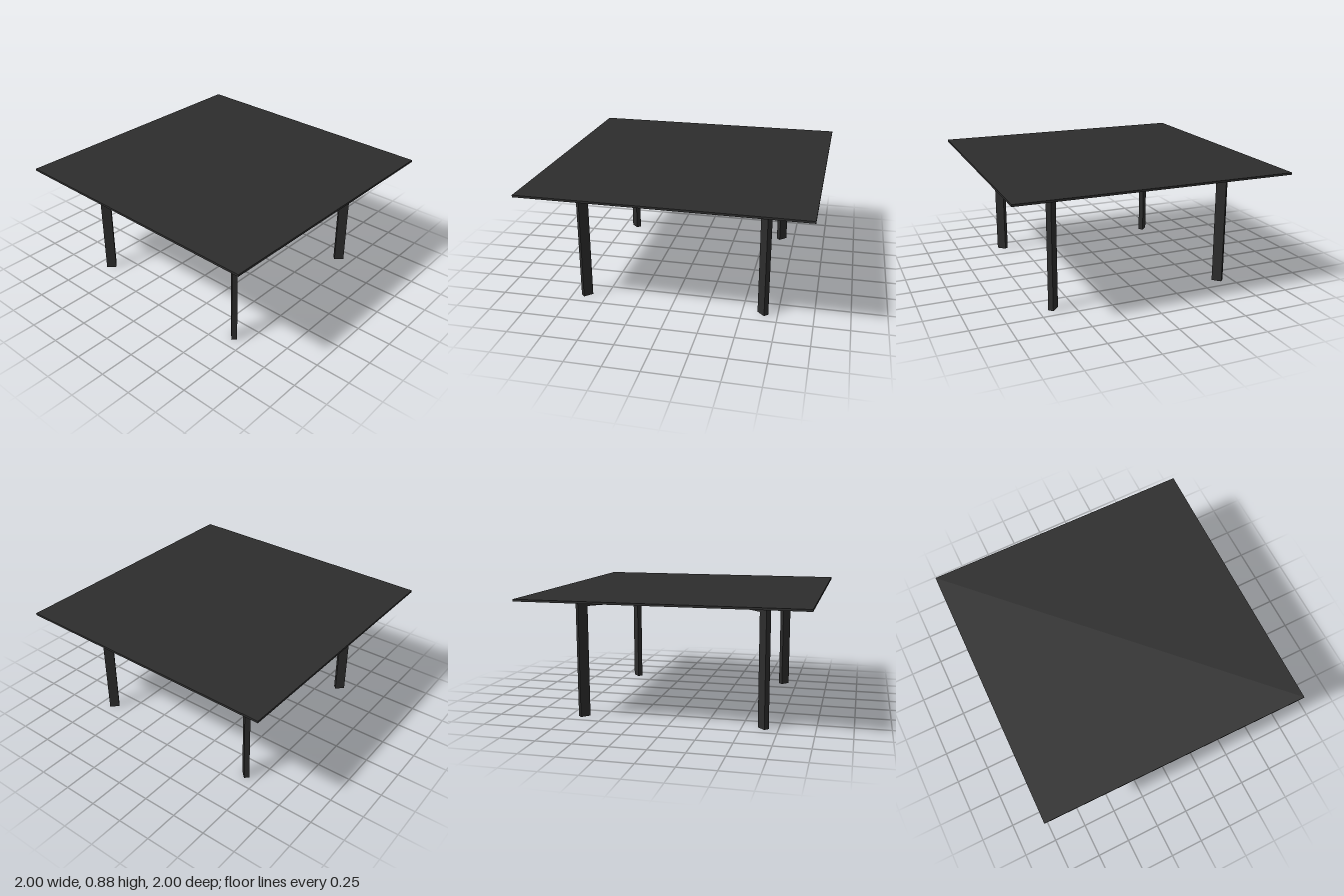
import * as THREE from 'three';

export function createModel() {
  const group = new THREE.Group();
  const black = new THREE.MeshStandardMaterial({ color: 0x2d2d2d });
  black.name = 'matte black';

  // Thin square top, turned very slightly on its base
  const top = new THREE.Mesh(new THREE.BoxGeometry(1.98, 0.015, 1.98), black);
  top.name = 'tableTop';
  top.position.y = 0.8695;
  top.rotation.y = -0.0101;
  group.add(top);

  // Two flat U-shaped frames crossing on the diagonals: legs and rail in one
  const reach = 0.95, width = 0.073, depth = 0.038, height = 0.855, railBottom = 0.797;
  const inner = reach - width;
  const outline = new THREE.Shape([
    [-reach, 0], [-inner, 0], [-inner, railBottom], [inner, railBottom],
    [inner, 0], [reach, 0], [reach, height], [-reach, height],
  ].map(([x, y]) => new THREE.Vector2(x, y)));
  const frameGeometry = new THREE.ExtrudeGeometry(outline, { depth, bevelEnabled: false });
  frameGeometry.translate(0, 0, -depth / 2);
  for (const side of [1, -1]) {
    const frame = new THREE.Mesh(frameGeometry, black);
    frame.name = side > 0 ? 'legFrameRising' : 'legFrameFalling';
    frame.rotation.y = side * Math.PI / 4;
    group.add(frame);
  }

  // Small spacer between the crossing and the top
  const spacer = new THREE.Mesh(new THREE.BoxGeometry(0.04, 0.008, 0.04), black);
  spacer.name = 'spacer';
  spacer.position.y = 0.8585;
  group.add(spacer);

  return group;
}
